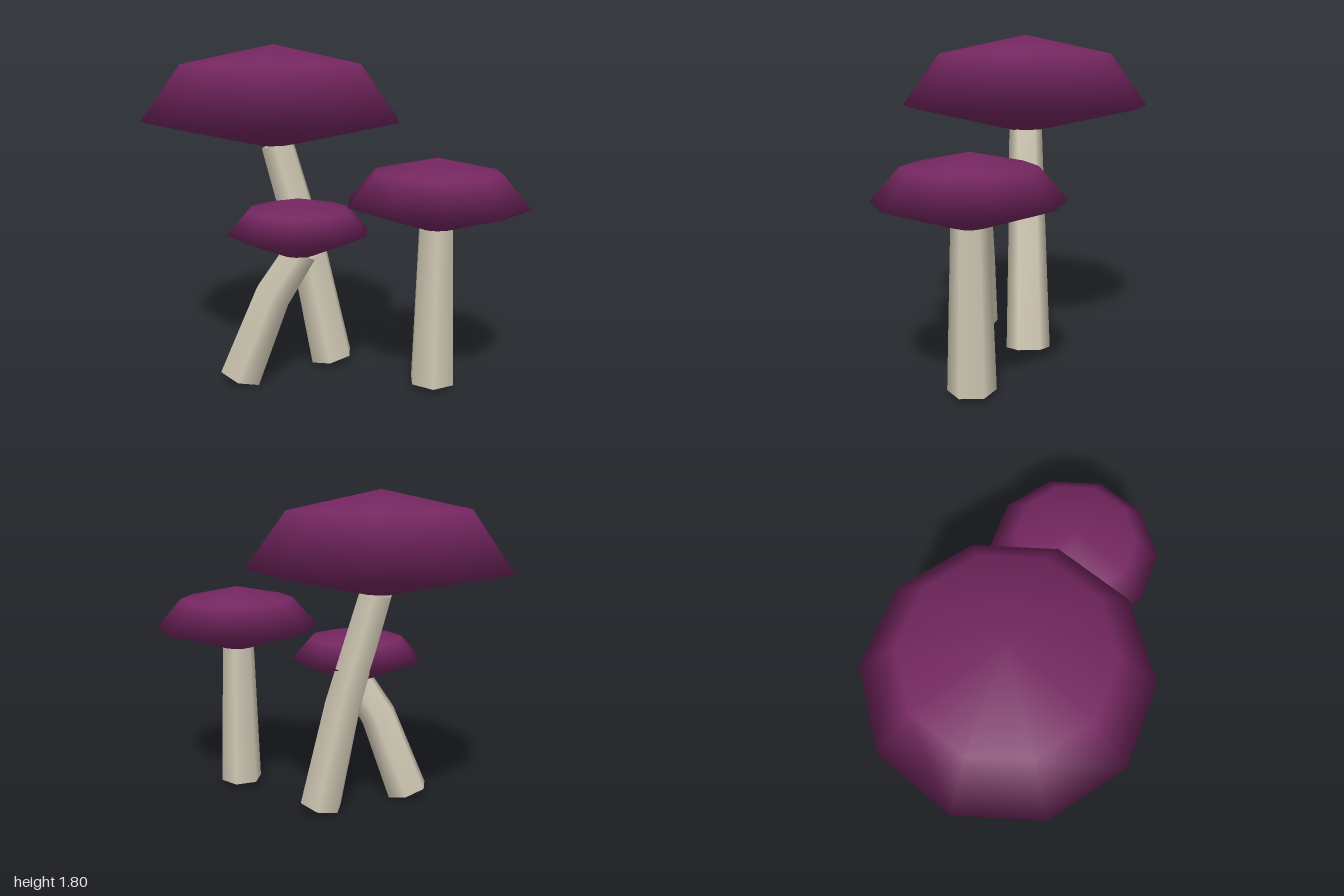
import * as THREE from 'three';

const capPurple = new THREE.MeshStandardMaterial({ color: 0x742660, side: THREE.DoubleSide });
capPurple.name = 'capPurple';
const stemCream = new THREE.MeshStandardMaterial({ color: 0xd2cab6, side: THREE.DoubleSide });
stemCream.name = 'stemCream';

// Ten-sided smooth cap: profile of [radius, height] from the underside to the tip
function makeCap(x, z, profile) {
  const points = profile.map(([r, y]) => new THREE.Vector2(r, y));
  const geometry = new THREE.LatheGeometry(points, 10);
  // the tip points straight up
  const normal = geometry.attributes.normal;
  for (let i = points.length - 1; i < normal.count; i += points.length) normal.setXYZ(i, 0, 1, 0);
  const cap = new THREE.Mesh(geometry, capPurple);
  cap.name = 'cap';
  cap.position.set(x, 0, z);
  return cap;
}

// Open six-sided stem: sections of [x, y, radius, tilt] from top to bottom
function makeStem(z, sections) {
  const geometry = new THREE.CylinderGeometry(1, 1, 1, 6, sections.length - 1, true);
  const { position, normal } = geometry.attributes;
  const axis = new THREE.Vector3(0, 0, 1);
  const v = new THREE.Vector3();
  for (let i = 0; i < position.count; i++) {
    const [x, y, r, tilt] = sections[Math.floor(i / 7)];
    v.fromBufferAttribute(position, i).setY(0).multiplyScalar(r).applyAxisAngle(axis, tilt);
    position.setXYZ(i, v.x + x, v.y + y, v.z + z);
    v.fromBufferAttribute(normal, i).setY(0).normalize().applyAxisAngle(axis, tilt);
    normal.setXYZ(i, v.x, v.y, v.z);
  }
  const stem = new THREE.Mesh(geometry, stemCream);
  stem.name = 'stem';
  return stem;
}

const mushrooms = [
  {
    name: 'tallMushroom', x: -0.325, z: -0.04,
    cap: [[0.09, 1.265], [0.71, 1.405], [0.495, 1.7], [0, 1.805]],
    stem: [[-0.308, 1.27, 0.095, 0.28], [-0.135, 0.65, 0.108, 0.24], [-0.01, 0.043, 0.124, 0.21]],
  },
  {
    name: 'mediumMushroom', x: 0.547, z: 0.273,
    cap: [[0.085, 0.878], [0.473, 1.005], [0.33, 1.17], [0, 1.24]],
    stem: [[0.545, 0.88, 0.095, 0], [0.545, 0.042, 0.124, 0]],
  },
  {
    name: 'smallMushroom', x: -0.165, z: 0.252,
    cap: [[0.09, 0.725], [0.373, 0.847], [0.27, 0.963], [0, 1.02]],
    stem: [[-0.15, 0.745, 0.095, -0.52], [-0.303, 0.5, 0.108, -0.45], [-0.482, 0.043, 0.124, -0.33]],
  },
];

export function createModel() {
  const model = new THREE.Group();
  model.name = 'mushroomCluster';
  for (const { name, x, z, cap, stem } of mushrooms) {
    const mushroom = new THREE.Group();
    mushroom.name = name;
    mushroom.add(makeCap(x, z, cap), makeStem(z, stem));
    model.add(mushroom);
  }
  return model;
}
